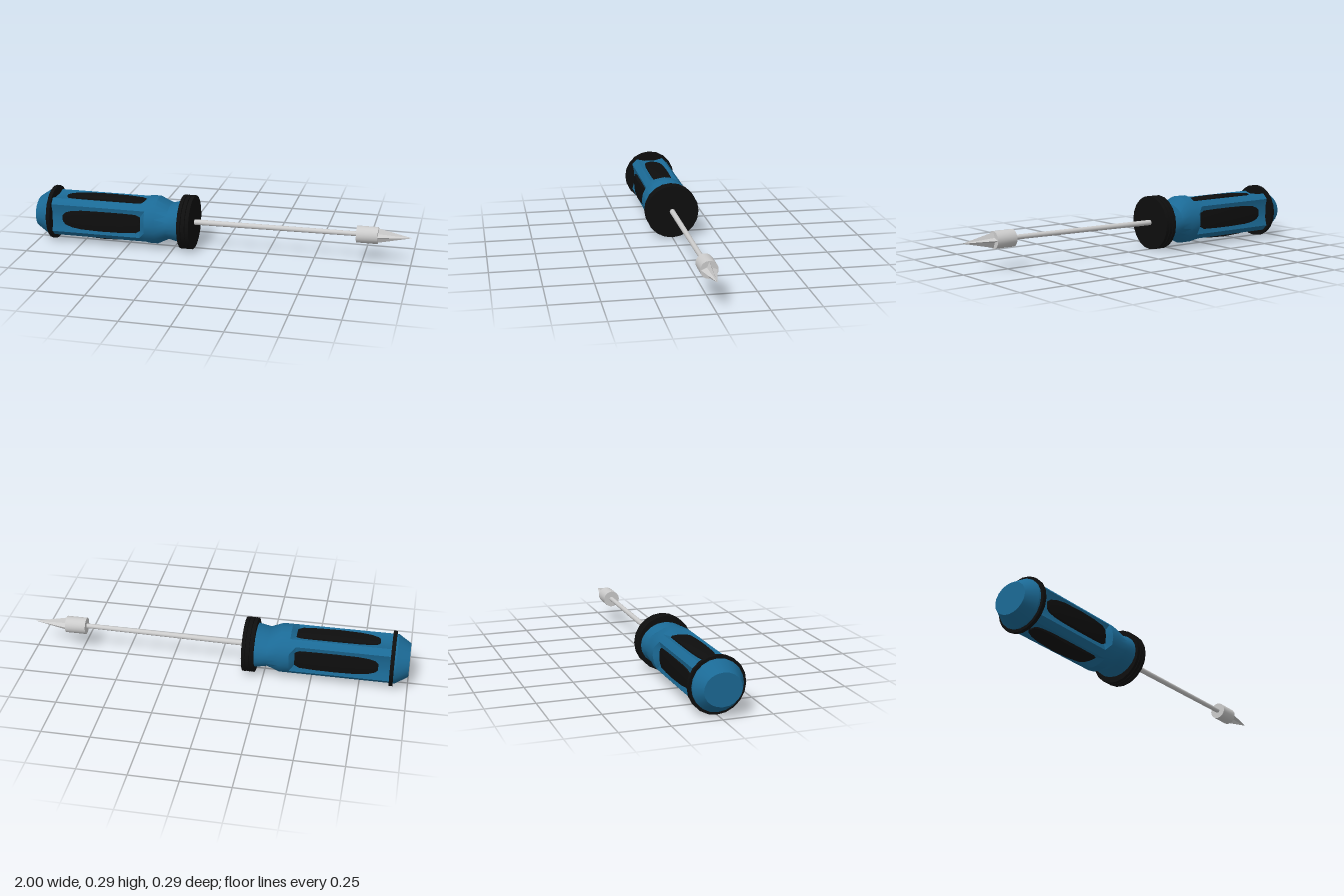
import * as THREE from 'three';
import { toCreasedNormals } from 'three/addons/utils/BufferGeometryUtils.js';

const AXIS = 0.1435; // height of the tool's long axis
const SIDES = 20;

const blue = new THREE.MeshStandardMaterial({ color: 0x1b6a96 });
const black = new THREE.MeshStandardMaterial({ color: 0x0e0e0e });
const metal = new THREE.MeshStandardMaterial({ color: 0xcccccc });

// Skins a list of closed loops running toward +x (each loop turns from +y to +z) and caps both ends.
function loft(loops, crease = 0.5) {
  const pos = [];
  const tri = (...pts) => pts.forEach((p) => pos.push(p.x, p.y, p.z));
  const n = loops[0].length;
  for (let i = 0; i < loops.length - 1; i++) {
    for (let j = 0; j < n; j++) {
      const k = (j + 1) % n;
      const [a, b, c, d] = [loops[i][j], loops[i][k], loops[i + 1][j], loops[i + 1][k]];
      tri(a, b, c);
      tri(b, d, c);
    }
  }
  for (const [loop, atEnd] of [[loops[0], false], [loops[loops.length - 1], true]]) {
    const mid = loop.reduce((s, p) => s.add(p), new THREE.Vector3()).divideScalar(n);
    loop.forEach((p, j) => {
      const q = loop[(j + 1) % n];
      if (atEnd) tri(mid, p, q);
      else tri(mid, q, p);
    });
  }
  const geo = new THREE.BufferGeometry();
  geo.setAttribute('position', new THREE.Float32BufferAttribute(pos, 3));
  geo.computeVertexNormals();
  return toCreasedNormals(geo, crease);
}

// Loop across x; radius(j) shapes it, sy and sz stretch it.
function loop(x, sides, radius, sy = 1, sz = 1) {
  return Array.from({ length: sides }, (_, j) => {
    const a = (j / sides) * Math.PI * 2;
    return new THREE.Vector3(x, Math.cos(a) * radius(j) * sy, Math.sin(a) * radius(j) * sz);
  });
}

const turned = (profile) => loft(profile.map(([x, r]) => loop(x, SIDES, () => r)));

function add(parent, name, geometry, material, y = 0) {
  const mesh = new THREE.Mesh(geometry, material);
  mesh.name = name;
  mesh.position.y = y;
  parent.add(mesh);
  return mesh;
}

// Handle body: four flutes sunk between diagonal ribs, then a neck pinched in height.
function handleBody() {
  const R = 0.128;
  const floor = 0.094;
  const stations = [ // x, height radius, depth radius, fluted
    [-1, 0.083, 0.095, 0],
    [-0.935, R, R, 0],
    [-0.912, R, R, 0],
    [-0.908, R, R, 1],
    [-0.42, R, R, 1],
    [-0.388, R, R, 0],
    [-0.335, R, R, 0],
    [-0.27, 0.093, R, 0],
    [-0.2, 0.113, R, 0],
  ];
  return loft(stations.map(([x, ry, rz, fluted]) => loop(x, SIDES, (j) => {
    const near = Math.min(j % 5, 5 - (j % 5)); // steps from the flute centre
    if (!fluted || near === 2) return 1;
    return (near === 0 ? floor : floor * 1.035) / R;
  }, ry, rz)), 0.45);
}

// Grip pad: domed along and across, tapered at the butt end, blunt at the other.
function gripPad(height) {
  const outline = [
    [-0.845, 0.018], [-0.83, 0.032], [-0.795, 0.044], [-0.74, 0.05],
    [-0.63, 0.052], [-0.52, 0.052], [-0.44, 0.05], [-0.415, 0.036],
  ];
  return loft(outline.map(([x, w]) => {
    const t = (x + 0.845) / 0.43;
    const top = 0.102 + (height - 0.102) * Math.sin(Math.PI * t) ** 0.8;
    const pts = [-1, -0.5, 0, 0.5, 1].map((v) => new THREE.Vector3(x, top - 0.003 * v * v, w * v));
    pts.push(new THREE.Vector3(x, 0.085, w), new THREE.Vector3(x, 0.085, -w));
    return pts;
  }), 0.6);
}

export function createModel() {
  const model = new THREE.Group();
  model.name = 'screwdriver';

  const handle = new THREE.Group();
  handle.name = 'handle';
  handle.position.y = AXIS;
  model.add(handle);
  add(handle, 'handleBody', handleBody(), blue);

  // Pads in order top, front, bottom, back
  [0.11, 0.12, 0.12, 0.11].forEach((height, k) => {
    add(handle, 'gripPad', gripPad(height), black).rotation.x = (k * Math.PI) / 2;
  });

  // Ring near the butt end
  add(handle, 'buttRing', turned([[-0.925, AXIS], [-0.905, AXIS]]), black);

  // Collar with three ridges
  const collar = [];
  for (let i = 0; i < 3; i++) {
    const x = -0.206 + i * 0.0225;
    collar.push([x, AXIS], [x + 0.0185, AXIS]);
    if (i < 2) collar.push([x + 0.0185, 0.13], [x + 0.0225, 0.13]);
  }
  add(handle, 'collar', turned(collar), black);

  // Shaft, rising very slightly toward the bit
  const from = new THREE.Vector3(-0.15, 0.145, 0);
  const to = new THREE.Vector3(0.73, 0.153, 0.002);
  const dir = to.clone().sub(from);
  const shaft = add(model, 'shaft', new THREE.CylinderGeometry(0.0125, 0.0145, dir.length(), 16), metal);
  shaft.position.copy(from).add(to).multiplyScalar(0.5);
  shaft.quaternion.setFromUnitVectors(new THREE.Vector3(0, 1, 0), dir.normalize());

  // Bit holder
  const bit = new THREE.Group();
  bit.name = 'bit';
  bit.position.set(0, 0.152, 0.002);
  model.add(bit);
  add(bit, 'bitHolder', turned([[0.718, 0.044], [0.828, 0.044]]), metal);

  // Cross-shaped point
  const star = (x, s) => loop(x, 8, (j) => (j % 2 ? 0.0175 : 0.041) * s);
  add(bit, 'crossTip', loft([star(0.82, 1), star(1, 0.01)], 0.1), metal);

  return model;
}
